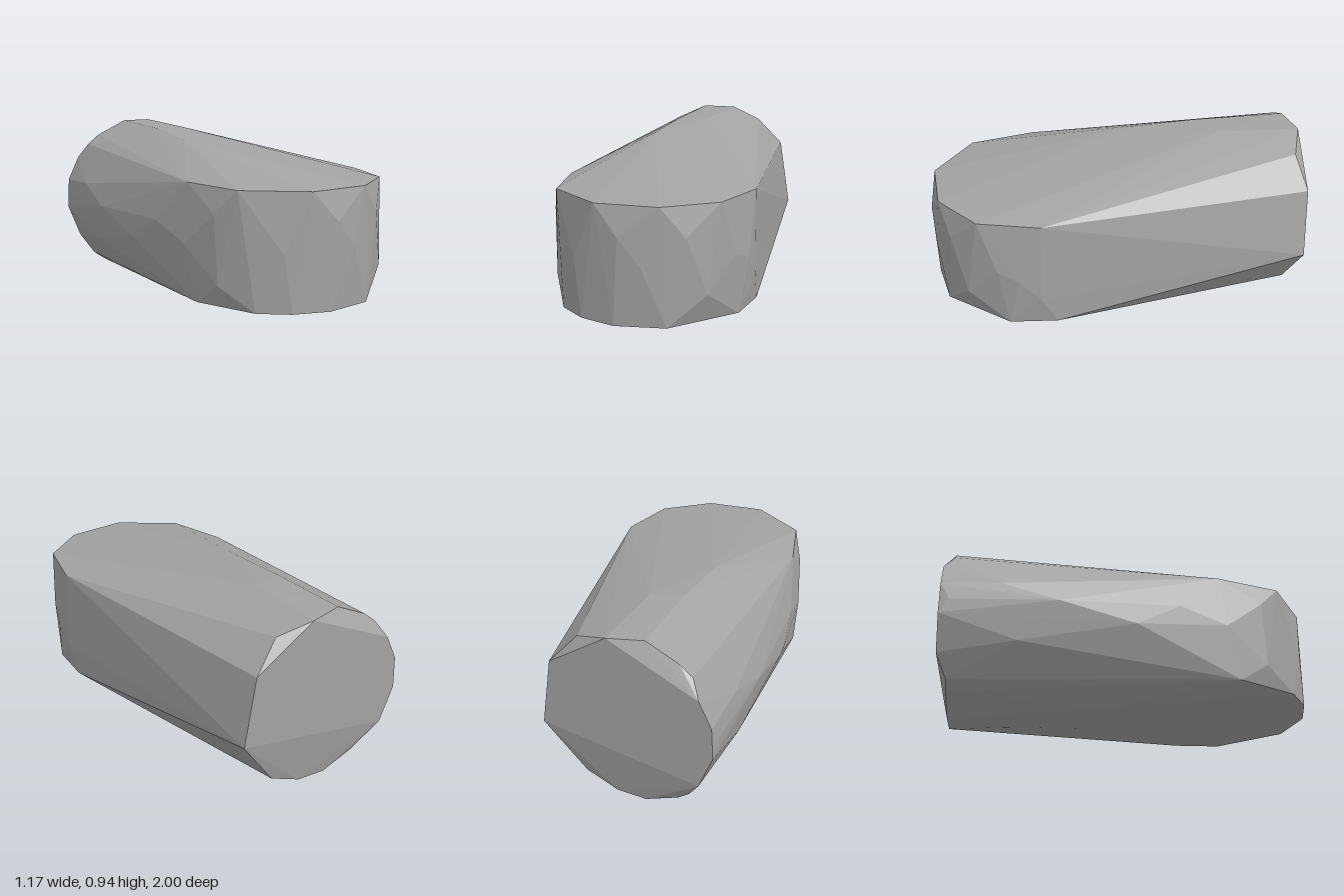
import * as THREE from 'three';
import { ConvexGeometry } from 'three/addons/geometries/ConvexGeometry.js';

// Faceted stone: a flat, rounded front end tapering into a round, chipped back end.
export function createModel() {
  const stone = new THREE.MeshStandardMaterial({ color: 0xa3a3a3 });
  stone.name = 'grey stone';

  // Rim of the flat top face: x, z at y = 0.77
  const topRim = [[0.575, 0.42], [0.51, 0.74], [0.28, 0.94], [-0.04, 0.98], [-0.34, 0.79], [-0.44, 0.45]]
    .map(([x, z]) => [x, 0.77, z]);

  // Rim of the underside: x, z at y = 0.18
  const bottomRim = [[0.565, 0.35], [0.555, 0.6], [0.31, 0.93], [0.06, 0.995], [-0.13, 0.955], [-0.28, 0.86], [-0.44, 0.55], [-0.44, 0.37]]
    .map(([x, z]) => [x, 0.18, z]);

  // Chipped facets around the rounded front
  const frontFacets = [
    [0.09, 0.62, 1.0], [0.2, 0.48, 0.98], [0.39, 0.62, 0.885], [0.47, 0.33, 0.81],
    [0.555, 0.5, 0.65], [0.583, 0.45, 0.54], [0.582, 0.33, 0.43],
    [-0.17, 0.47, 0.94], [-0.4, 0.29, 0.7], [-0.41, 0.64, 0.68], [-0.48, 0.47, 0.48],
  ];

  // Bulges along the long sides, top and underside
  const flanks = [
    [-0.52, 0.55, 0.23], [-0.555, 0.42, 0], [-0.583, 0.52, -0.4], [-0.55, 0.3, -0.6], [-0.57, 0.61, -0.7],
    [-0.2, 0.91, -0.1], [-0.2, 0.938, -0.47], [-0.04, 0.94, -0.55],
    [-0.04, 0.042, -0.1], [-0.28, 0.06, -0.15], [-0.12, 0.0, -0.65],
  ];

  // Back face
  const backFace = [[0.275, 0.73], [0.335, 0.36], [-0.04, 0.94], [-0.51, 0.235], [-0.583, 0.42], [-0.575, 0.59], [-0.51, 0.725]]
    .map(([x, y]) => [x, y, -1]);

  // Bevelled corners just ahead of the back face
  const backBevel = [[0.14, 0.88], [-0.22, 0.945], [-0.39, 0.865], [-0.46, 0.81], [-0.585, 0.5], [-0.44, 0.125],
    [-0.38, 0.08], [-0.2, 0.005], [-0.04, 0.01], [0.13, 0.08]]
    .map(([x, y]) => [x, y, -0.95]);

  const points = [...topRim, ...bottomRim, ...frontFacets, ...flanks, ...backFace, ...backBevel]
    .map((p) => new THREE.Vector3(...p));
  const body = new THREE.Mesh(new ConvexGeometry(points), stone);
  body.name = 'stoneBody';

  const group = new THREE.Group();
  group.name = 'facetedStone';
  group.add(body);
  return group;
}
